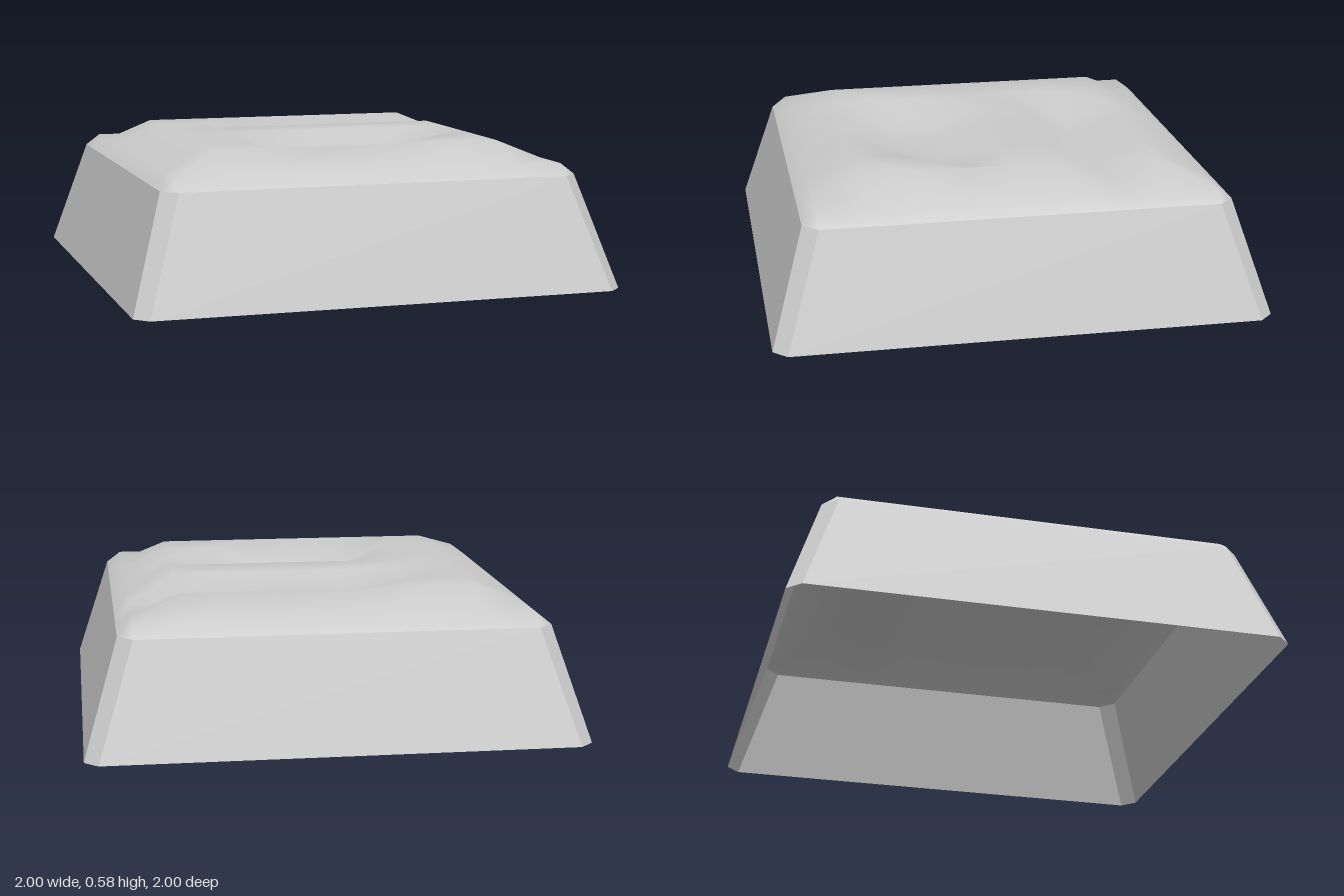
import * as THREE from 'three';

const BASE = 0, SHOULDER = 0.455, LOW = 0.5, HIGH = 0.58;

const material = (flatShading) =>
  new THREE.MeshStandardMaterial({ color: 0xcccccc, flatShading, side: THREE.DoubleSide });

function makeMesh(name, positions, indices, flat) {
  const g = new THREE.BufferGeometry();
  g.setAttribute('position', new THREE.Float32BufferAttribute(positions, 3));
  g.setIndex(indices);
  const geometry = flat ? g.toNonIndexed() : g;
  geometry.computeVertexNormals();
  const mesh = new THREE.Mesh(geometry, material(flat));
  mesh.name = name;
  return mesh;
}

// Sunken areas of the top, as rows of grid points: [z, first x, last x]
const hollows = [
  [-0.4, -0.2, 0.6], // groove towards the side edge
  [0.2, -0.2, 0.4],  // dish, back row
  [0.4, -0.2, 0.2],  // dish, front row
];

function topHeight(x, z) {
  const reach = Math.max(Math.abs(x), Math.abs(z));
  if (reach > 0.81) return SHOULDER;
  if (reach > 0.7) return LOW;
  const sunk = hollows.some(([hz, x0, x1]) =>
    Math.abs(z - hz) < 0.05 && x > x0 - 0.05 && x < x1 + 0.05);
  return sunk ? LOW : HIGH;
}

// Smooth top: a square grid whose outermost ring is the bevel down to the walls
function createTop() {
  const coords = [-0.86];
  for (let i = -4; i <= 4; i++) coords.push(i * 0.2);
  coords.push(0.86);
  const n = coords.length;
  const positions = [], indices = [];
  for (const z of coords) {
    for (const x of coords) {
      // Outer corners are pulled in to the middle of the corner chamfer
      const corner = Math.abs(x) > 0.81 && Math.abs(z) > 0.81;
      const k = corner ? 0.83 / 0.86 : 1;
      positions.push(x * k, topHeight(x, z), z * k);
    }
  }
  for (let j = 0; j < n - 1; j++) {
    for (let i = 0; i < n - 1; i++) {
      const a = j * n + i, b = a + n, c = a + 1, d = b + 1;
      indices.push(a, b, c, b, d, c);
    }
  }
  return makeMesh('top', positions, indices, false);
}

// Octagon outline: a square of half-width w with its corners cut off at c
function outline(w, c, y) {
  return [[c, w], [w, c], [w, -c], [c, -w], [-c, -w], [-w, -c], [-w, c], [-c, w]]
    .map(([x, z]) => [x, y, z]);
}

// Sloping walls with chamfered corners, open underneath
function createWalls() {
  const lower = outline(1, 0.945, BASE), upper = outline(0.86, 0.8, SHOULDER);
  const indices = [];
  for (let i = 0; i < 8; i++) {
    const k = (i + 1) % 8;
    indices.push(i, k, k + 8, i, k + 8, i + 8);
  }
  return makeMesh('walls', [...lower, ...upper].flat(), indices, true);
}

export function createModel() {
  const group = new THREE.Group();
  group.name = 'hollowTile';
  group.add(createTop(), createWalls());
  return group;
}
